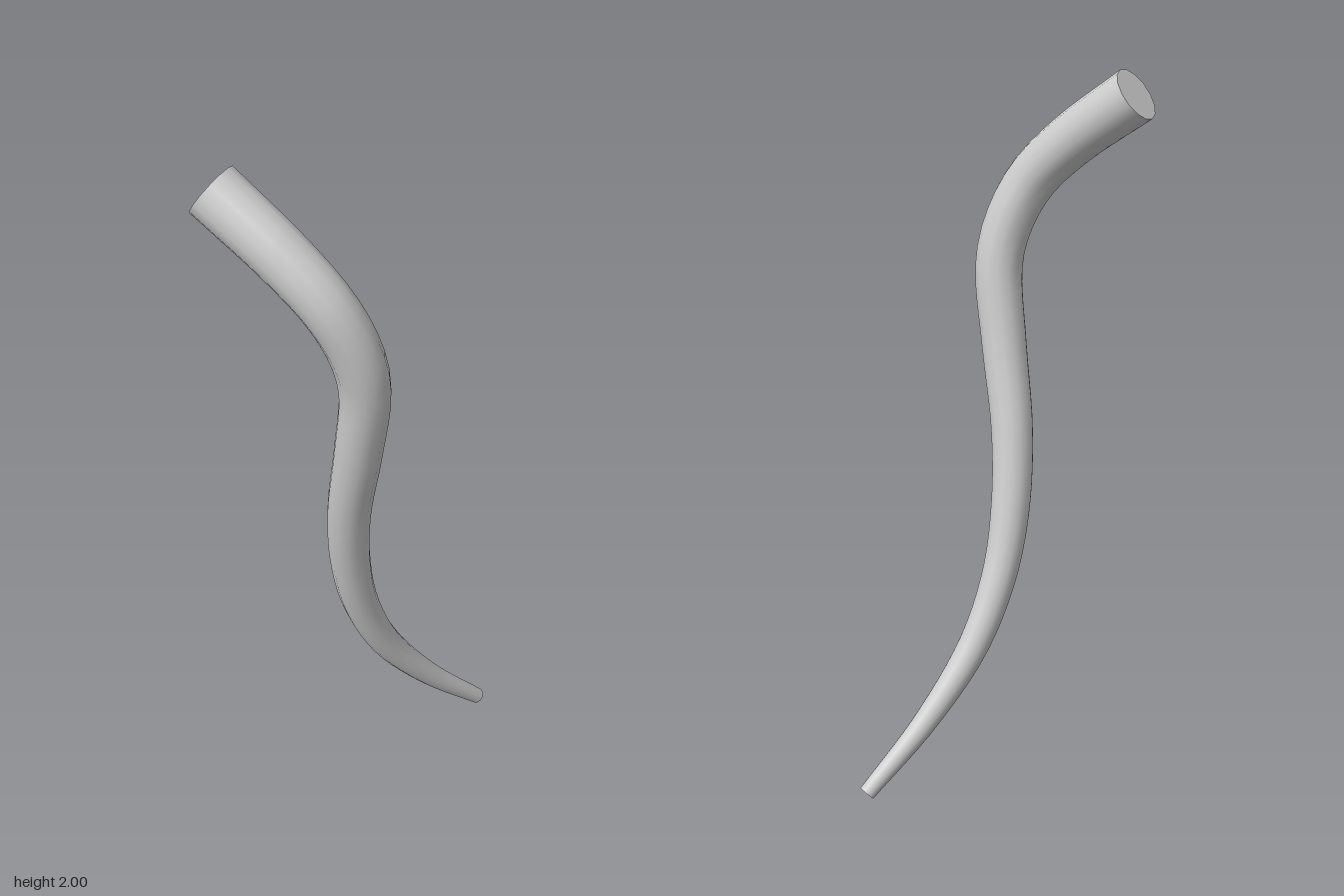
import * as THREE from 'three';

const SEGMENTS = 48, SIDES = 14;

// Centre line from the thick upper end to the thin lower end
const path = new THREE.CatmullRomCurve3([
  [-0.19, 1.94, 0.333], [0, 1.80, 0.289], [0.105, 1.69, 0.253], [0.155, 1.57, 0.213],
  [0.167, 1.45, 0.185], [0.126, 1.22, 0.162], [0.072, 1.0, 0.133], [0.04, 0.8, 0.093],
  [0.03, 0.6, 0.035], [0.046, 0.4, -0.06], [0.094, 0.2, -0.21], [0.157, 0.018, -0.39],
].map((p) => new THREE.Vector3(...p)));

// Radii at even steps along the length
const radii = [0.078, 0.071, 0.064, 0.056, 0.043, 0.024];

function radiusAt(u) {
  const s = u * (radii.length - 1);
  const i = Math.min(Math.floor(s), radii.length - 2);
  return THREE.MathUtils.lerp(radii[i], radii[i + 1], s - i);
}

// Unit tube pulled in to the tapering radius
function taperedTube() {
  const geometry = new THREE.TubeGeometry(path, SEGMENTS, 1, SIDES, false);
  const { position, normal, uv } = geometry.attributes;
  const p = new THREE.Vector3(), n = new THREE.Vector3();
  for (let i = 0; i < position.count; i++) {
    p.fromBufferAttribute(position, i);
    n.fromBufferAttribute(normal, i);
    p.addScaledVector(n, radiusAt(uv.getX(i)) - 1);
    position.setXYZ(i, p.x, p.y, p.z);
  }
  return geometry;
}

// Flat fan closing one ring of the tube
function endCap(tube, ring, centre, flip) {
  const points = [];
  const corner = (j) => new THREE.Vector3()
    .fromBufferAttribute(tube.attributes.position, ring * (SIDES + 1) + j);
  for (let j = 0; j < SIDES; j++) {
    points.push(centre, corner(flip ? j + 1 : j), corner(flip ? j : j + 1));
  }
  const geometry = new THREE.BufferGeometry().setFromPoints(points);
  geometry.computeVertexNormals();
  return geometry;
}

export function createModel() {
  const group = new THREE.Group();
  group.name = 'curvedHorn';
  const grey = new THREE.MeshStandardMaterial({ color: 0xcccccc });
  grey.name = 'lightGrey';

  const add = (name, geometry) => {
    const mesh = new THREE.Mesh(geometry, grey);
    mesh.name = name;
    group.add(mesh);
  };

  const tube = taperedTube();
  add('taperedShaft', tube);
  add('upperCap', endCap(tube, 0, path.getPointAt(0), false));
  add('lowerCap', endCap(tube, SEGMENTS, path.getPointAt(1), true));
  return group;
}
